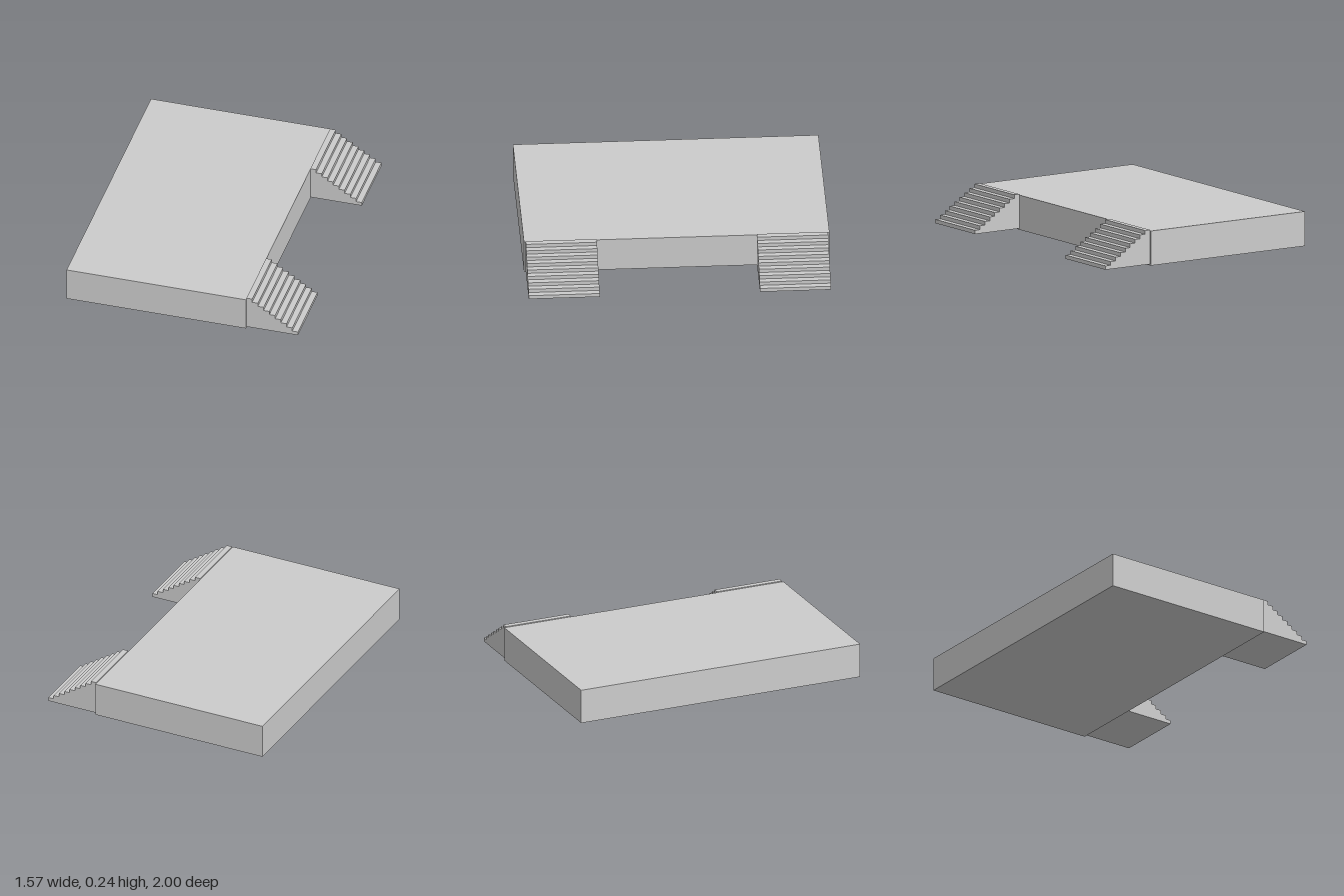
import * as THREE from 'three';

const material = new THREE.MeshStandardMaterial({ color: 0xcccccc, flatShading: true });

// Solid flight of steps descending towards +x, extruded along z
function makeStairs(name, zCentre) {
  const x0 = 0.435, x1 = 0.785, base = 0.008, top = 0.236, width = 0.465, count = 9;
  const run = (x1 - x0) / count, rise = (top - base) / count;
  const shape = new THREE.Shape();
  shape.moveTo(x0, base);
  shape.lineTo(x1, base);
  for (let i = 1; i <= count; i++) {
    const x = x1 - (i - 1) * run, y = base + i * rise;
    shape.lineTo(x, y);
    shape.lineTo(x - run, y);
  }
  shape.closePath();
  const geometry = new THREE.ExtrudeGeometry(shape, { depth: width, bevelEnabled: false });
  geometry.translate(0, 0, zCentre - width / 2);
  const stairs = new THREE.Mesh(geometry, material);
  stairs.name = name;
  return stairs;
}

export function createModel() {
  const model = new THREE.Group();
  model.name = 'stageWithStairs';

  // Main deck block
  const platform = new THREE.Mesh(new THREE.BoxGeometry(1.22, 0.23, 2), material);
  platform.name = 'platform';
  platform.position.set(-0.175, 0.115, 0);
  model.add(platform);

  // One flight at each end of the left side
  model.add(makeStairs('frontStairs', 0.757), makeStairs('backStairs', -0.757));
  return model;
}
